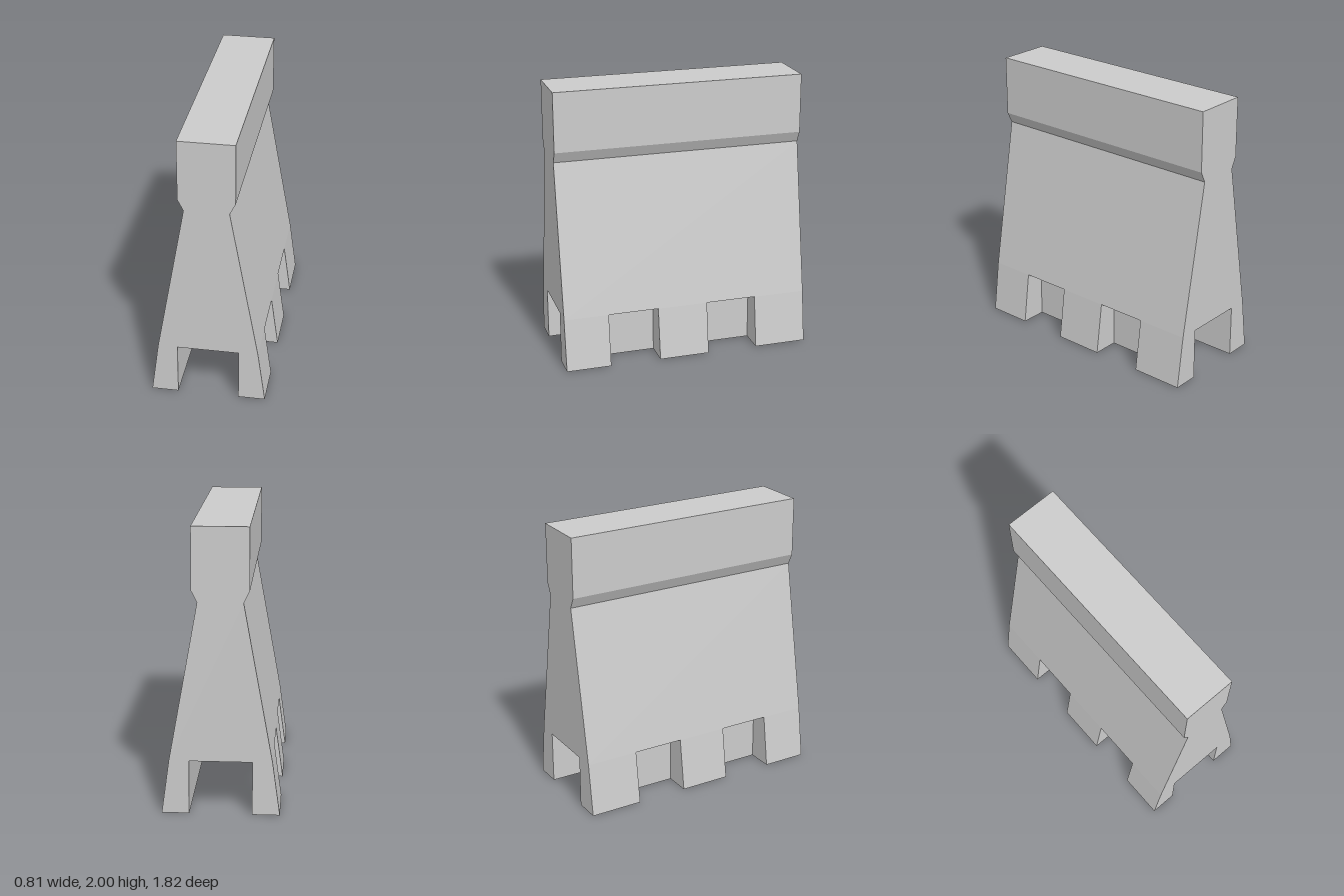
import * as THREE from 'three';

const material = new THREE.MeshStandardMaterial({ color: 0xcccccc, flatShading: true });
const thinMaterial = new THREE.MeshStandardMaterial({ color: 0xcccccc, flatShading: true, side: THREE.DoubleSide });

const LEG_TOP = 0.38;
const INNER_X = 0.217;
const HALF_LENGTH = 0.91;

// Extrudes an x-y outline from z0 to z1
function prism(name, points, z0, z1) {
  const shape = new THREE.Shape(points.map(([x, y]) => new THREE.Vector2(x, y)));
  const geometry = new THREE.ExtrudeGeometry(shape, { depth: z1 - z0, bevelEnabled: false });
  geometry.translate(0, 0, z0);
  const mesh = new THREE.Mesh(geometry, material);
  mesh.name = name;
  return mesh;
}

export function createModel() {
  const group = new THREE.Group();
  group.name = 'barrier';

  // Tapered wall with a narrow neck and a wider cap
  const half = [[0.355, LEG_TOP], [0.155, 1.49], [0.195, 1.57], [0.195, 2]];
  const mirrored = half.map(([x, y]) => [-x, y]).reverse();
  group.add(prism('wall', [...half, ...mirrored], -HALF_LENGTH, HALF_LENGTH));

  const legSpans = [[-HALF_LENGTH, -0.527], [-0.157, 0.213], [0.583, HALF_LENGTH]];
  for (const side of [1, -1]) {
    const label = side > 0 ? 'left' : 'right';

    // Three splayed legs on each side
    const outline = [[INNER_X, 0], [0.407, 0], [0.355, LEG_TOP], [INNER_X, LEG_TOP]];
    legSpans.forEach(([z0, z1], i) => {
      group.add(prism(`${label}Leg${i + 1}`, outline.map(([x, y]) => [side * x, y]), z0, z1));
    });

    // Thin inner panels closing the gaps between the legs
    for (let i = 0; i < 2; i++) {
      const z0 = legSpans[i][1];
      const z1 = legSpans[i + 1][0];
      const panel = new THREE.Mesh(new THREE.PlaneGeometry(z1 - z0, LEG_TOP), thinMaterial);
      panel.name = `${label}InnerPanel${i + 1}`;
      panel.rotation.y = side * Math.PI / 2;
      panel.position.set(side * INNER_X, LEG_TOP / 2, (z0 + z1) / 2);
      group.add(panel);
    }
  }
  return group;
}
